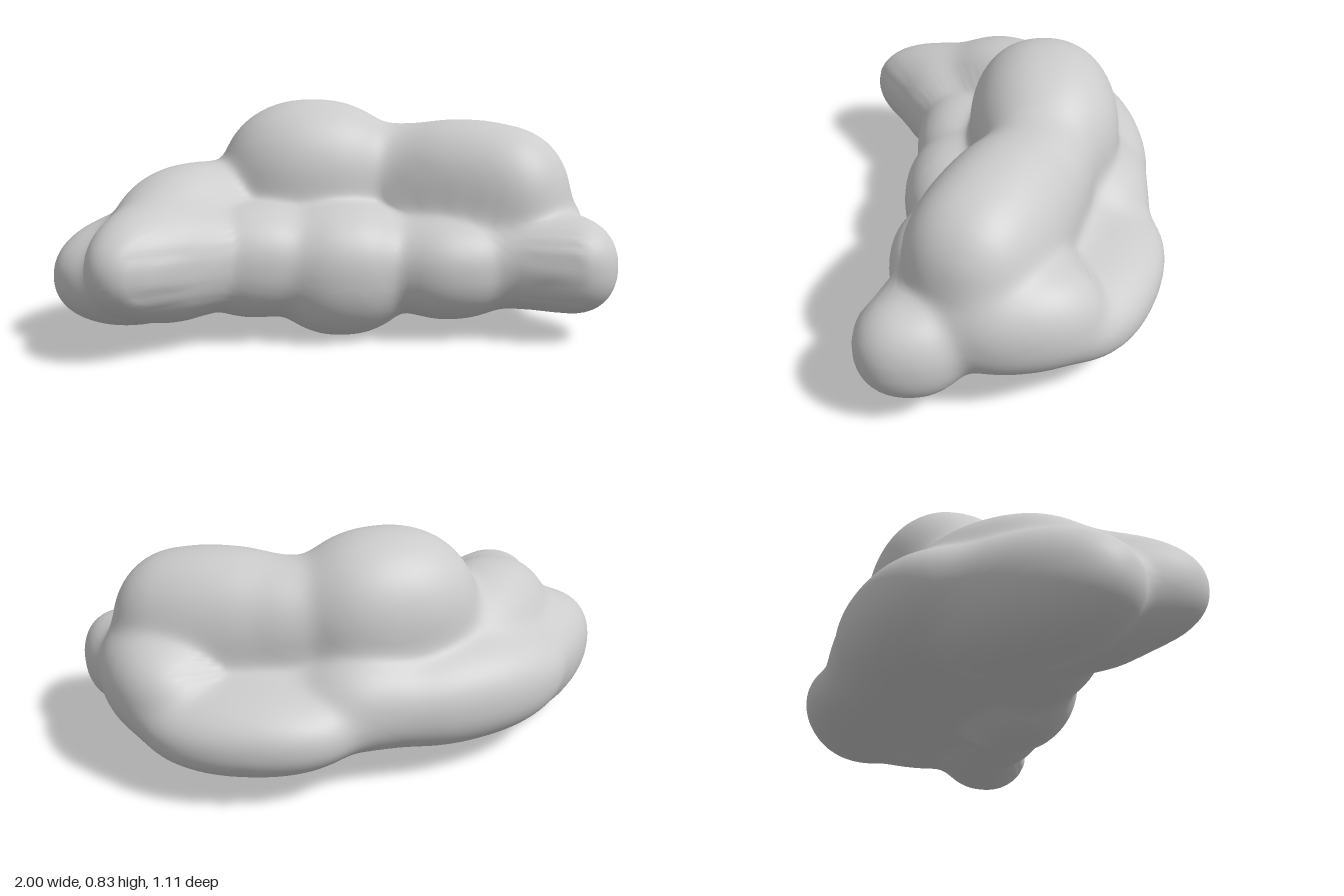
import * as THREE from 'three';
import { mergeVertices } from 'three/addons/utils/BufferGeometryUtils.js';

// Puffs of the cloud: centre, radii, turn about y
const PUFFS = [
  [[0, 0.28, -0.05], [0.75, 0.19, 0.36], 0],             // core
  [[-0.04, 0.52, -0.13], [0.35, 0.315, 0.275], 0],       // top
  [[0.29, 0.5, -0.08], [0.2, 0.235, 0.2], -0.3],         // saddle beside the top
  [[0.49, 0.47, 0.03], [0.33, 0.295, 0.24], -0.45],      // upper left, inner
  [[0.64, 0.46, 0.11], [0.25, 0.28, 0.235], -0.5],       // upper left, outer
  [[-0.48, 0.36, -0.04], [0.36, 0.25, 0.23], 0.8],       // upper right
  [[-0.6, 0.31, 0.16], [0.43, 0.21, 0.19], 1.1],         // right arm
  [[-0.56, 0.3, 0.23], [0.21, 0.2, 0.2], 0.6],           // right arm, inner
  [[-0.665, 0.23, -0.04], [0.39, 0.21, 0.22], 0.72],     // right side
  [[-0.28, 0.28, -0.29], [0.42, 0.195, 0.24], 0.15],     // back right
  [[0.08, 0.3, -0.31], [0.24, 0.18, 0.2], 0],            // back middle
  [[0.49, 0.24, -0.295], [0.37, 0.15, 0.22], -0.38],     // back left
  [[0.76, 0.34, -0.01], [0.2, 0.19, 0.28], 0.15],        // left side
  [[0.84, 0.27, 0.33], [0.155, 0.17, 0.18], 0],          // left arm
  [[0.7, 0.27, 0.25], [0.22, 0.17, 0.19], -0.45],        // left arm, inner
  [[0.03, 0.24, 0.17], [0.26, 0.235, 0.225], 0],         // front middle
  [[-0.28, 0.28, 0.16], [0.23, 0.2, 0.2], 0],            // front right
  [[0.42, 0.25, 0.2], [0.25, 0.19, 0.225], 0],           // front left
].map(([c, r, turn]) => ({ c, r, cos: Math.cos(turn), sin: Math.sin(turn), min: Math.min(...r) }));

// Softly blended distance to all puffs, each slightly fuller than an ellipsoid
function distance(x, y, z) {
  const k = 0.02, power = 2.2;
  let sum = 0;
  for (const { c, r, cos, sin, min } of PUFFS) {
    const dx = x - c[0], dz = z - c[2];
    const local = [(dx * cos - dz * sin) / r[0], (y - c[1]) / r[1], (dx * sin + dz * cos) / r[2]];
    const reach = local.reduce((total, v) => total + Math.abs(v) ** power, 0) ** (1 / power);
    sum += Math.exp((1 - reach) * min / k);
  }
  return -k * Math.log(sum);
}

export function createModel() {
  const group = new THREE.Group();
  group.name = 'cloud';

  // Shrink-wrap a fine sphere onto the puffs, from outside towards the middle
  let geometry = new THREE.IcosahedronGeometry(1, 40);
  geometry.deleteAttribute('uv');
  geometry.deleteAttribute('normal');
  geometry = mergeVertices(geometry, 1e-5);
  const pos = geometry.attributes.position;
  const middle = new THREE.Vector3(0, 0.28, -0.02);
  const spread = new THREE.Vector3(1, 0.45, 0.6);
  const dir = new THREE.Vector3(), p = new THREE.Vector3();
  for (let i = 0; i < pos.count; i++) {
    dir.fromBufferAttribute(pos, i).multiply(spread).normalize();
    let t = 1.2;
    for (let n = 0; n < 100; n++) {
      p.copy(middle).addScaledVector(dir, t);
      const d = distance(p.x, p.y, p.z);
      if (d < 0.0005) break;
      t -= d;
    }
    pos.setXYZ(i, p.x, p.y, p.z);
  }
  geometry.computeVertexNormals();

  const body = new THREE.Mesh(geometry, new THREE.MeshStandardMaterial({ color: 0xcccccc, roughness: 0.9 }));
  body.name = 'cloudBody';
  group.add(body);
  return group;
}
